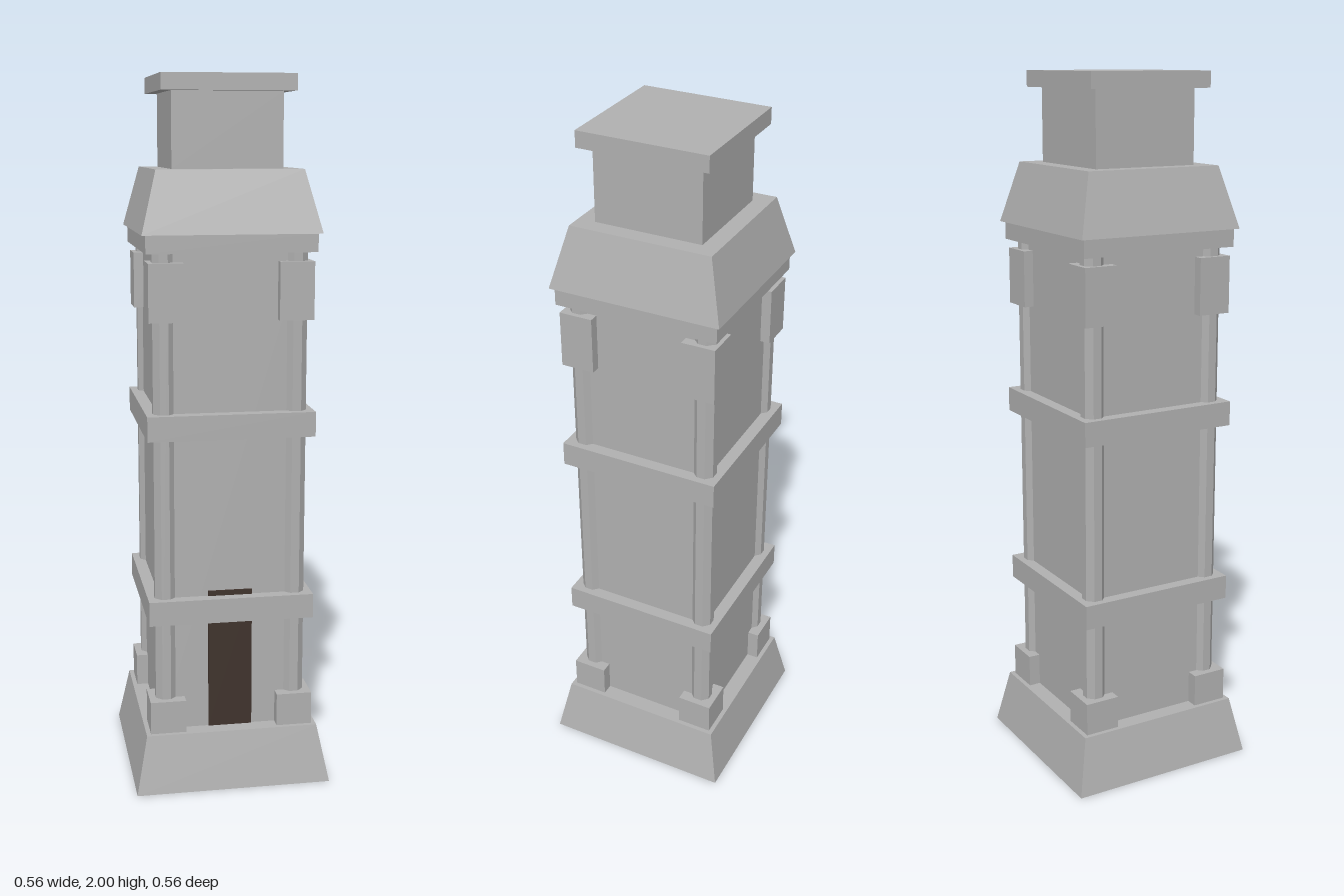
import * as THREE from 'three';

export function createModel() {
  const tower = new THREE.Group();
  tower.name = 'tower';

  const stone = new THREE.MeshStandardMaterial({ color: 0xb0b0b0 });
  stone.name = 'stone';
  const darkWood = new THREE.MeshStandardMaterial({ color: 0x40332c });
  darkWood.name = 'darkWood';

  const add = (name, geometry, material, x, y, z) => {
    const mesh = new THREE.Mesh(geometry, material);
    mesh.name = name;
    mesh.position.set(x, y, z);
    tower.add(mesh);
    return mesh;
  };

  // Square block from y0 to y1, centred on (x, z), tapering between two half widths
  const block = (name, y0, y1, bottom, top = bottom, x = 0, z = 0) => {
    const geometry = new THREE.CylinderGeometry(top * Math.SQRT2, bottom * Math.SQRT2, y1 - y0, 4)
      .rotateY(Math.PI / 4).toNonIndexed();
    geometry.computeVertexNormals();
    return add(name, geometry, stone, x, (y0 + y1) / 2, z);
  };

  // Central stack
  block('base', 0, 0.165, 0.28, 0.247);
  block('shaft', 0.165, 1.53, 0.2);
  block('lowerBand', 0.49, 0.56, 0.235);
  block('upperBand', 1.02, 1.09, 0.235);
  block('cornice', 1.53, 1.58, 0.235);
  block('slopedRoof', 1.58, 1.75, 0.246, 0.202);
  block('neck', 1.75, 1.955, 0.153);
  block('cap', 1.955, 2, 0.184);

  // Corner columns with their foot and head blocks
  const columnGeometry = new THREE.CylinderGeometry(0.032, 0.032, 1.365, 8)
    .rotateY(Math.PI / 8).toNonIndexed();
  columnGeometry.computeVertexNormals();
  for (const sx of [-1, 1]) {
    for (const sz of [-1, 1]) {
      add('cornerColumn', columnGeometry, stone, sx * 0.185, 0.8475, sz * 0.185);
      block('columnFoot', 0.165, 0.26, 0.051, 0.051, sx * 0.183, sz * 0.183);
      block('columnHead', 1.345, 1.505, 0.048, 0.048, sx * 0.18, sz * 0.18);
    }
  }

  // Door plate, its top edge showing above the lower band
  add('door', new THREE.BoxGeometry(0.126, 0.41, 0.008), darkWood, 0, 0.37, 0.2);

  return tower;
}
